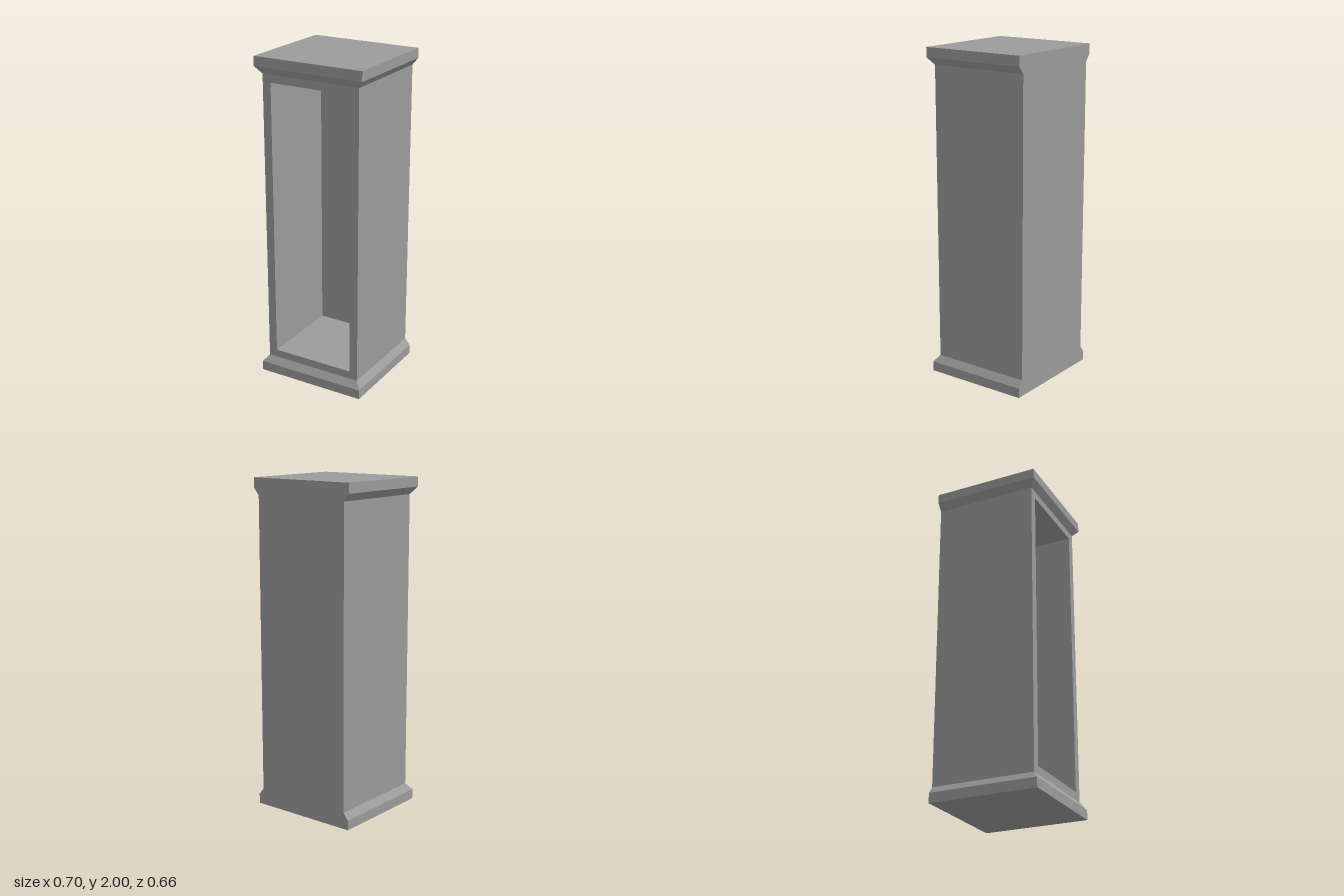
import * as THREE from 'three';

const BACK = -0.328; // every part is flush at the back
const material = new THREE.MeshStandardMaterial({ color: 0x9b9b9b });

function addPart(group, name, geometry) {
  const mesh = new THREE.Mesh(geometry, material);
  mesh.name = name;
  group.add(mesh);
  return mesh;
}

// Rectangular moulding through three levels [y, half width, front z], bottom to top
function moulding(levels) {
  const geometry = new THREE.BoxGeometry(2, 2, 2, 1, 2, 1);
  const pos = geometry.attributes.position;
  for (let i = 0; i < pos.count; i++) {
    const [y, halfWidth, front] = levels[Math.round(pos.getY(i)) + 1];
    pos.setXYZ(i, Math.sign(pos.getX(i)) * halfWidth, y, pos.getZ(i) > 0 ? front : BACK);
  }
  const flat = geometry.toNonIndexed();
  flat.computeVertexNormals();
  return flat;
}

function rectangle(target, halfWidth, y0, y1) {
  target.moveTo(-halfWidth, y0);
  target.lineTo(halfWidth, y0);
  target.lineTo(halfWidth, y1);
  target.lineTo(-halfWidth, y1);
  target.closePath();
  return target;
}

export function createModel() {
  const group = new THREE.Group();
  group.name = 'openCabinet';

  const bodyHalf = 0.314, bodyFront = 0.296;
  const openHalf = 0.261, openLow = 0.148, openHigh = 1.85;
  const panelDepth = 0.085;
  const bodyLow = 0.1, bodyHigh = 1.897;

  // Case with the rectangular opening
  const outline = rectangle(new THREE.Shape(), bodyHalf, bodyLow, bodyHigh);
  outline.holes.push(rectangle(new THREE.Path(), openHalf, openLow, openHigh));
  const body = addPart(group, 'cabinetCase', new THREE.ExtrudeGeometry(outline, {
    depth: bodyFront - BACK, bevelEnabled: false,
  }));
  body.position.z = BACK;

  // Thick back panel closing the case
  const panel = addPart(group, 'backPanel',
    new THREE.BoxGeometry(openHalf * 2, openHigh - openLow, panelDepth));
  panel.position.set(0, (openLow + openHigh) / 2, BACK + panelDepth / 2);

  // Plinth and cornice, chamfered toward the case
  addPart(group, 'plinth', moulding([
    [0, 0.347, 0.328], [0.059, 0.347, 0.328], [bodyLow, bodyHalf, bodyFront],
  ]));
  addPart(group, 'cornice', moulding([
    [bodyHigh, bodyHalf, bodyFront], [1.941, 0.35, 0.328], [2, 0.35, 0.328],
  ]));

  return group;
}
